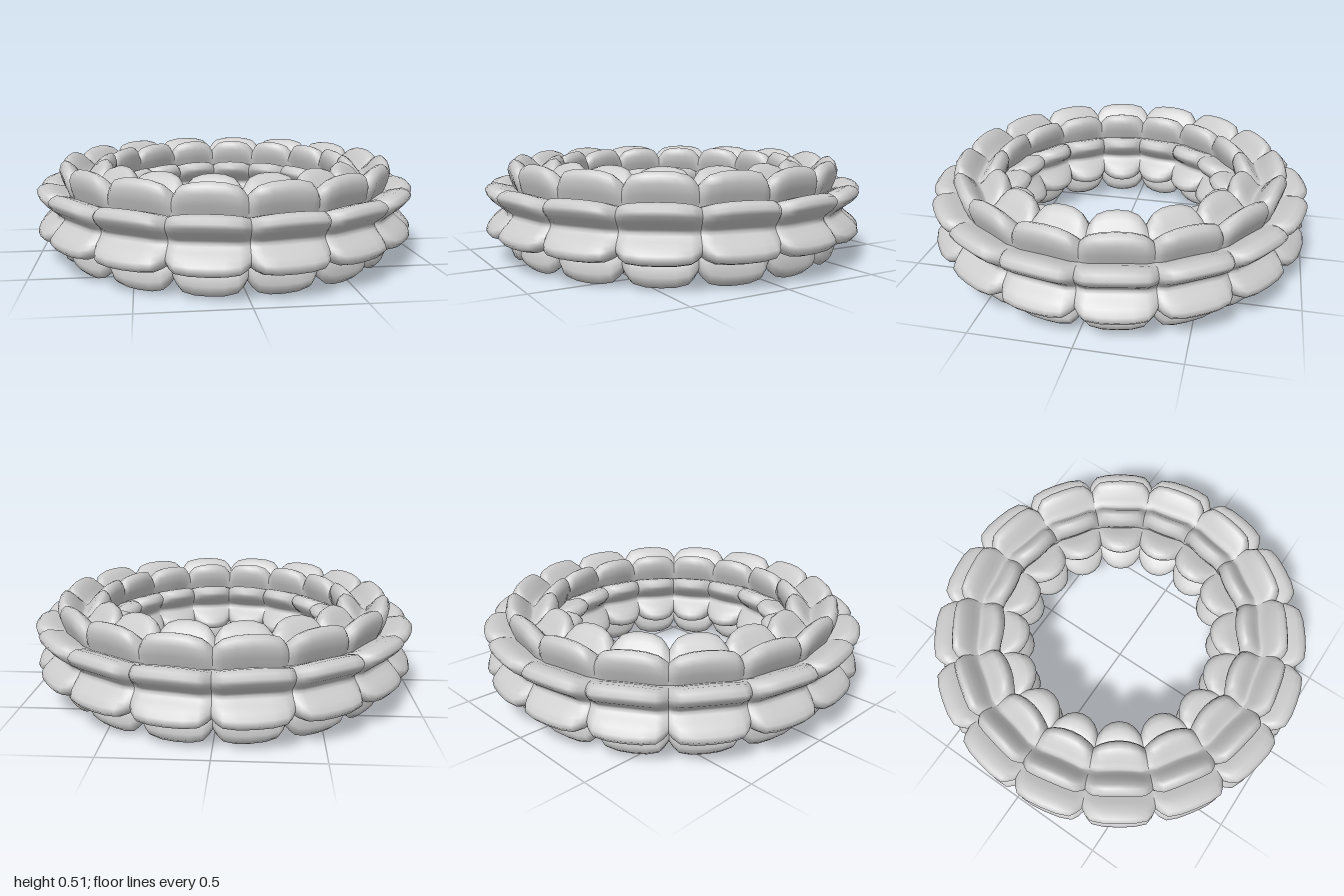
import * as THREE from 'three';

const SEGMENTS = 16;
const CENTRE_Y = 0.262;
const CORE = 0.14; // radius the ridges rise from

// Half of a pad's cross-section (outward, sideways): central groove, rounded ridge, inner crease
const HALF = [[0.16, 0], [0.17, 0.014], [0.196, 0.034], [0.228, 0.058], [0.25, 0.084],
  [0.257, 0.106], [0.238, 0.127], [0.205, 0.137], [0.155, 0.124], [0.1, 0.1]];
const PROFILE = [...HALF.slice(1).reverse().map(([o, s]) => [o, -s]), ...HALF];

// Stations along a pad: angle in degrees, ridge height factor, ring radius
const HALF_STATIONS = [[0, 1, 0.744], [4.5, 0.97, 0.748], [8.2, 0.86, 0.756],
  [10, 0.67, 0.755], [11.25, 0.48, 0.752]];
const STATIONS = [...HALF_STATIONS.slice(1).reverse().map(([a, k, r]) => [-a, k, r]), ...HALF_STATIONS];

// One double-ridged pad, its section turned about the ring's core
function padGeometry(turn) {
  const positions = [], index = [], n = PROFILE.length;
  for (const [deg, height, radius] of STATIONS) {
    const a = THREE.MathUtils.degToRad(deg);
    for (const [out, side] of PROFILE) {
      const rho = CORE + (Math.hypot(out, side) - CORE) * height;
      const phi = turn + Math.atan2(side, out);
      const r = radius + rho * Math.cos(phi);
      positions.push(r * Math.sin(a), CENTRE_Y + rho * Math.sin(phi), r * Math.cos(a));
    }
  }
  for (let i = 0; i < STATIONS.length - 1; i++) {
    for (let j = 0; j < n - 1; j++) {
      const p = i * n + j, q = p + n;
      index.push(p, q, p + 1, q, q + 1, p + 1);
    }
  }
  const geometry = new THREE.BufferGeometry();
  geometry.setAttribute('position', new THREE.Float32BufferAttribute(positions, 3));
  geometry.setIndex(index);
  geometry.computeVertexNormals();
  return geometry;
}

export function createModel() {
  const group = new THREE.Group();
  group.name = 'paddedRing';
  const material = new THREE.MeshStandardMaterial({ color: 0xcccccc, side: THREE.DoubleSide });

  // Four pads wrap each segment; segments repeat around the ring
  const pads = ['outerPad', 'topPad', 'innerPad', 'bottomPad']
    .map((name, k) => ({ name, geometry: padGeometry(k * Math.PI / 2) }));
  for (let i = 0; i < SEGMENTS; i++) {
    const segment = new THREE.Group();
    segment.name = 'ringSegment';
    segment.rotation.y = (i + 0.5) * 2 * Math.PI / SEGMENTS;
    for (const { name, geometry } of pads) {
      const pad = new THREE.Mesh(geometry, material);
      pad.name = name;
      segment.add(pad);
    }
    group.add(segment);
  }
  return group;
}
